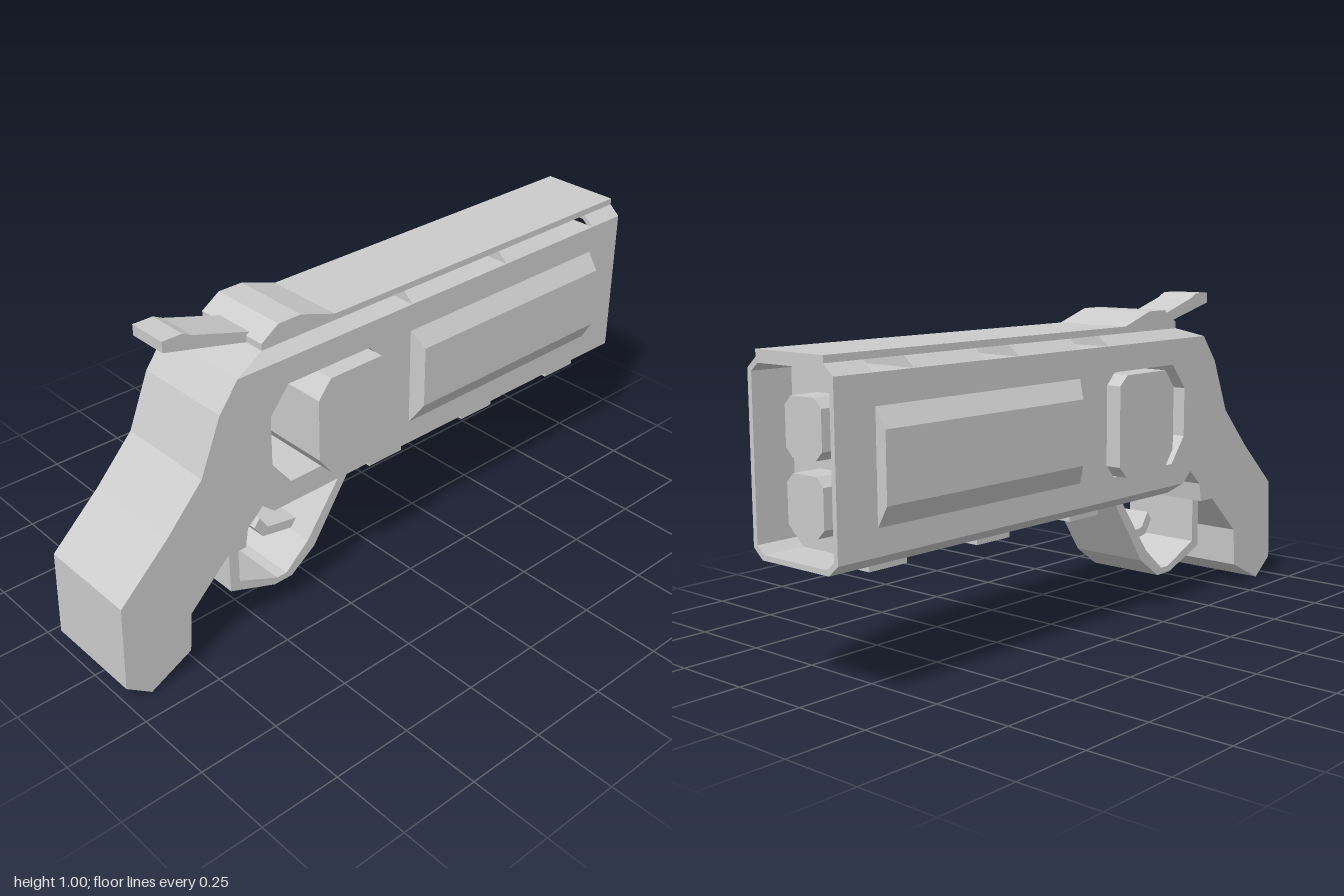
import * as THREE from 'three';
import { ConvexGeometry } from 'three/addons/geometries/ConvexGeometry.js';

export function createModel() {
  const model = new THREE.Group();
  const material = new THREE.MeshStandardMaterial({ color: 0xcccccc, flatShading: true });

  const add = (name, geometry) => {
    const mesh = new THREE.Mesh(geometry, material);
    mesh.name = name;
    model.add(mesh);
    return mesh;
  };
  const outline = (pts, hole) => {
    const shape = new THREE.Shape(pts.map(p => new THREE.Vector2(...p)));
    if (hole) shape.holes.push(new THREE.Path(hole.map(p => new THREE.Vector2(...p))));
    return shape;
  };
  // Side outline in (z, y), extruded across x to +-half
  const sideSolid = (name, half, pts, hole) => {
    const g = new THREE.ExtrudeGeometry(outline(pts, hole), { depth: half * 2, bevelEnabled: false });
    return add(name, g.translate(0, 0, -half).rotateY(-Math.PI / 2));
  };
  // Front outline in (x, y), extruded from z0 to z1
  const frontSolid = (name, z0, z1, pts, hole) => {
    const g = new THREE.ExtrudeGeometry(outline(pts, hole), { depth: z1 - z0, bevelEnabled: false });
    return add(name, g.translate(0, 0, z0));
  };
  // Tapered block between two horizontal rectangles [y, halfWidth, z0, z1]
  const taperedBlock = (name, ...rects) => {
    const pts = [];
    for (const [y, w, z0, z1] of rects)
      for (const x of [-w, w]) for (const z of [z0, z1]) pts.push(new THREE.Vector3(x, y, z));
    return add(name, new ConvexGeometry(pts));
  };
  // Rectangle with cut corners
  const cutRect = (cx, cy, w, h, c) => [
    [cx - w + c, cy - h], [cx + w - c, cy - h], [cx + w, cy - h + c], [cx + w, cy + h - c],
    [cx + w - c, cy + h], [cx - w + c, cy + h], [cx - w, cy + h - c], [cx - w, cy - h + c],
  ];

  const W = 0.165, N = 0.13, MUZZLE = -0.87;

  // Frame and grip in one piece, with the open window
  sideSolid('frameAndGrip', W, [
    [MUZZLE, 0.4], [MUZZLE, 0.87], [0.57, 0.87], [0.635, 0.785], [0.705, 0.615], [0.83, 0.48],
    [0.99, 0.33], [1, 0.06], [0.92, 0], [0.78, 0.07], [0.77, 0.195], [0.635, 0.325],
    [0.57, 0.325], [0.56, 0.385], [0.505, 0.435], [0.465, 0.4],
  ], [
    [0.1, 0.472], [0.4, 0.472], [0.465, 0.555], [0.465, 0.71], [0.4, 0.79], [0.1, 0.79],
    [0.067, 0.755], [0.067, 0.51],
  ]);
  taperedBlock('keel', [0.4, W, MUZZLE, 0.465], [0.37, N, MUZZLE, 0.43]);

  // Hollow muzzle with two barrels inside
  const t = 0.015;
  const section = (w, n, y0, y1, y2, y3) =>
    [[-n, y0], [n, y0], [w, y1], [w, y2], [n, y3], [-n, y3], [-w, y2], [-w, y1]];
  frontSolid('muzzleShell', -1, MUZZLE,
    section(W, N, 0.37, 0.4, 0.87, 0.9),
    section(W - t, N - t / 2, 0.37 + t, 0.4 + t / 2, 0.87 - t / 2, 0.9 - t));
  for (const y of [0.725, 0.525])
    frontSolid('barrel', -0.96, MUZZLE, cutRect(0, y, 0.07, 0.08, 0.025));

  // Top rib: spaced bevelled blocks carrying a strap with a rear sight hump
  for (const [z0, z1] of [[-0.73, -0.465], [-0.33, -0.067]])
    taperedBlock('ribBlock', [0.87, W, z0, z1], [0.9, N, z0, z1]);
  taperedBlock('rearRibBlock', [0.87, W, 0.067, 0.57], [0.9, N, 0.067, 0.46]);
  sideSolid('topStrap', N, [
    [-1, 0.9], [-1, 0.92], [0.2, 0.92], [0.32, 0.96], [0.4, 0.96], [0.46, 0.92], [0.46, 0.9],
  ]);

  // Hammer
  sideSolid('hammer', 0.065, [
    [0.44, 0.905], [0.44, 0.925], [0.635, 0.985], [0.665, 1], [0.73, 1], [0.73, 0.967], [0.46, 0.9],
  ]);

  // Drum through the window
  sideSolid('drum', 0.215, [
    [0.1, 0.475], [0.29, 0.475], [0.335, 0.535], [0.335, 0.73], [0.29, 0.785], [0.1, 0.785],
    [0.065, 0.755], [0.065, 0.51],
  ]);

  // Raised bevelled panels on both sides of the barrel
  for (const side of [-1, 1]) {
    const pts = [];
    for (const [x, y0, y1, z] of [[W - 0.01, 0.475, 0.785, -0.062], [W, 0.475, 0.785, -0.062], [0.2, 0.535, 0.73, -0.09]])
      for (const y of [y0, y1]) for (const zz of [z, -0.865]) pts.push(new THREE.Vector3(side * x, y, zz));
    add(side > 0 ? 'leftBarrelPanel' : 'rightBarrelPanel', new ConvexGeometry(pts));
  }

  // Pads under the barrel
  for (const z of [0, -0.4, -0.8]) {
    const pad = add('underPad', new THREE.BoxGeometry(0.26, 0.025, 0.133));
    pad.position.set(0, 0.3675, z);
  }

  // Trigger guard and trigger
  sideSolid('triggerGuard', N, [
    [0.605, 0.33], [0.605, 0.165], [0.445, 0.105], [0.38, 0.105], [0.29, 0.17], [0.15, 0.38],
    [0.185, 0.38], [0.315, 0.2], [0.4, 0.125], [0.435, 0.125], [0.572, 0.185], [0.572, 0.33],
  ]);
  sideSolid('trigger', 0.05, [
    [0.43, 0.295], [0.45, 0.268], [0.42, 0.225], [0.29, 0.2], [0.285, 0.23], [0.4, 0.25],
  ]);

  return model;
}
